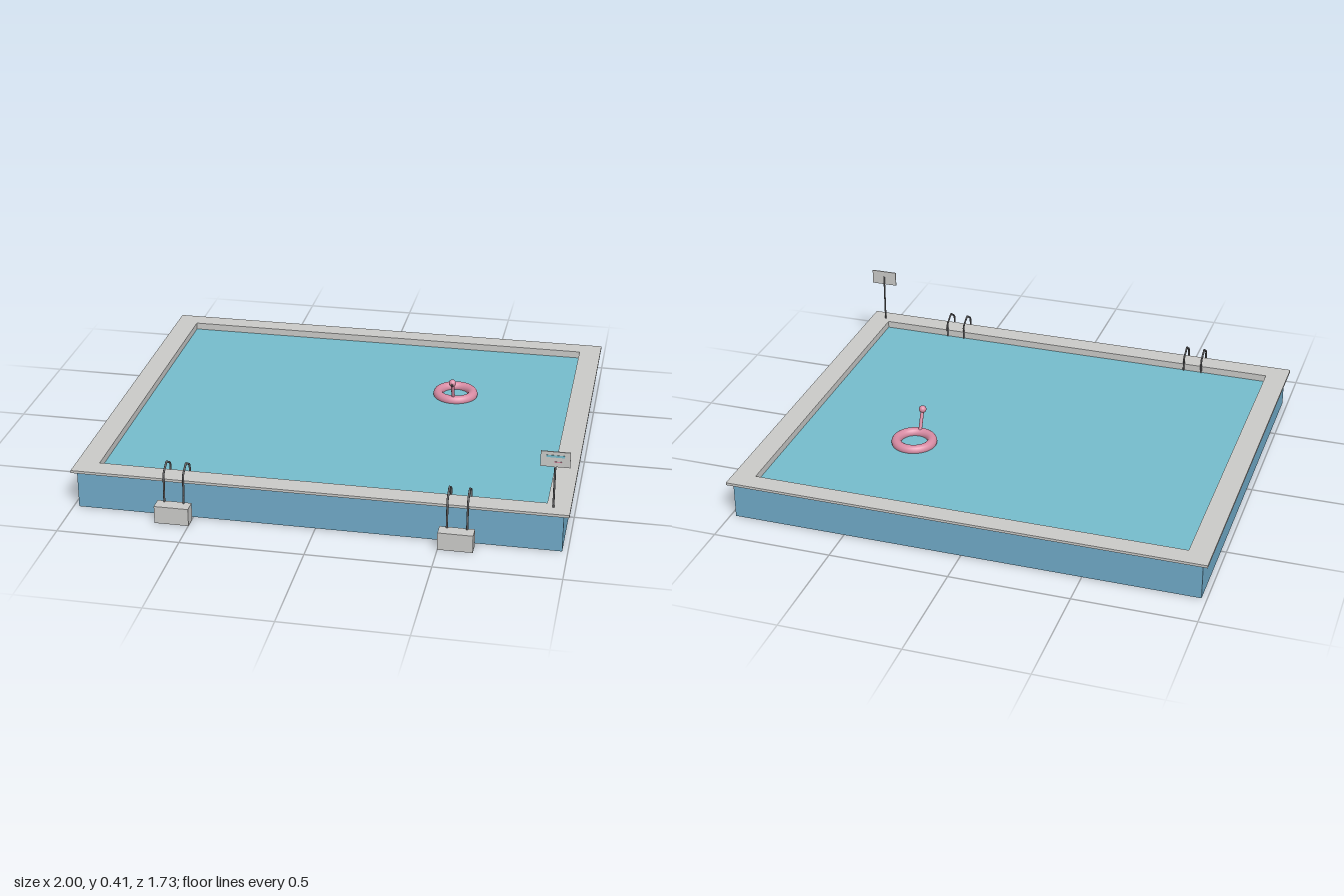
import * as THREE from 'three';

const mat = (name, color) => {
  const m = new THREE.MeshStandardMaterial({ color });
  m.name = name;
  return m;
};

export function createModel() {
  const stone = mat('pale stone', 0xcacac8);
  const blue = mat('pool wall blue', 0x70aac8);
  const water = mat('water blue', 0x76bccc);
  const pink = mat('float pink', 0xd88ca4);
  const metal = mat('dark metal', 0x6a6a6c);

  const model = new THREE.Group();
  model.name = 'swimmingPool';
  const add = (name, geo, material, x = 0, y = 0, z = 0, parent = model) => {
    const mesh = new THREE.Mesh(geo, material);
    mesh.name = name;
    mesh.position.set(x, y, z);
    parent.add(mesh);
    return mesh;
  };

  // Rectangles are [x0, x1, z0, z1]
  const corners = ([x0, x1, z0, z1]) =>
    [[x0, z0], [x1, z0], [x1, z1], [x0, z1]].map(([x, z]) => new THREE.Vector2(x, z));
  const frame = (name, outer, inner, bottom, top, material) => {
    const shape = new THREE.Shape(corners(outer));
    shape.holes.push(new THREE.Path(corners(inner).reverse()));
    const geo = new THREE.ExtrudeGeometry(shape, { depth: top - bottom, bevelEnabled: false });
    geo.rotateX(Math.PI / 2);
    add(name, geo, material, 0, top, 0);
  };
  const rim = [-0.906, 0.906, -0.782, 0.712];
  const lip = [-0.916, 0.916, -0.792, 0.722];
  const body = [-0.978, 0.978, -0.844, 0.786];
  const deck = [-1, 1, -0.866, 0.8];
  const waterY = 0.137;

  // Basin, water and stone surround
  add('basin', new THREE.BoxGeometry(1.956, 0.132, 1.63), blue, 0, 0.066, -0.029);
  frame('basinWall', body, lip, 0.132, 0.156, blue);
  frame('innerLip', lip, rim, 0.132, 0.156, stone);
  frame('deck', deck, rim, 0.156, 0.167, stone);
  const surface = new THREE.PlaneGeometry(1.812, 1.494);
  surface.rotateX(-Math.PI / 2);
  add('waterSurface', surface, water, 0, waterY, -0.035);

  // Two ladders, each with a step block and a pair of bent rails
  const bends = [[0.07, 0.816], [0.19, 0.81], [0.2, 0.805], [0.227, 0.763], [0.2, 0.716], [0.19, 0.711], [0.13, 0.711]]
    .map(([y, z]) => new THREE.Vector3(0, y, z));
  const railPath = new THREE.CurvePath();
  for (let i = 1; i < bends.length; i++) railPath.add(new THREE.LineCurve3(bends[i - 1], bends[i]));
  const railGeo = new THREE.TubeGeometry(railPath, 48, 0.0042, 8);
  for (const side of [-1, 1]) {
    const ladder = new THREE.Group();
    ladder.name = side < 0 ? 'rightLadder' : 'leftLadder';
    ladder.position.x = side * 0.569;
    model.add(ladder);
    add('step', new THREE.BoxGeometry(0.14, 0.074, 0.056), stone, 0, 0.037, 0.836, ladder);
    for (const x of [-0.04, 0.04]) add('rail', railGeo, metal, x, 0, 0, ladder);
  }

  // Sign on a post at the front left corner
  const sign = new THREE.Group();
  sign.name = 'sign';
  sign.position.set(0.932, 0, 0.743);
  model.add(sign);
  add('signPost', new THREE.CylinderGeometry(0.004, 0.004, 0.22, 8), metal, 0, 0.272, -0.001, sign);
  add('signPanel', new THREE.BoxGeometry(0.115, 0.064, 0.005), stone, 0, 0.376, 0.003, sign);
  add('blueBand', new THREE.BoxGeometry(0.07, 0.009, 0.002), water, 0, 0.389, 0.006, sign);
  add('pinkBand', new THREE.BoxGeometry(0.03, 0.004, 0.002), pink, 0.01, 0.365, 0.006, sign);

  // Floating bird ring
  const float = new THREE.Group();
  float.name = 'birdFloat';
  float.position.set(0.405, 0, -0.277);
  model.add(float);
  const ring = new THREE.TorusGeometry(0.076, 0.021, 16, 40);
  ring.rotateX(Math.PI / 2);
  add('floatRing', ring, pink, 0, 0.144, 0, float);
  const neckPath = new THREE.LineCurve3(new THREE.Vector3(0, 0.145, 0.066), new THREE.Vector3(0, 0.24, 0.106));
  add('neck', new THREE.TubeGeometry(neckPath, 4, 0.0075, 12), pink, 0, 0, 0, float);
  add('head', new THREE.SphereGeometry(0.016, 16, 12), pink, 0, 0.241, 0.108, float);
  const beak = new THREE.ConeGeometry(0.006, 0.022, 10);
  beak.rotateX(Math.PI / 2);
  add('beak', beak, metal, 0, 0.238, 0.13, float);

  return model;
}
